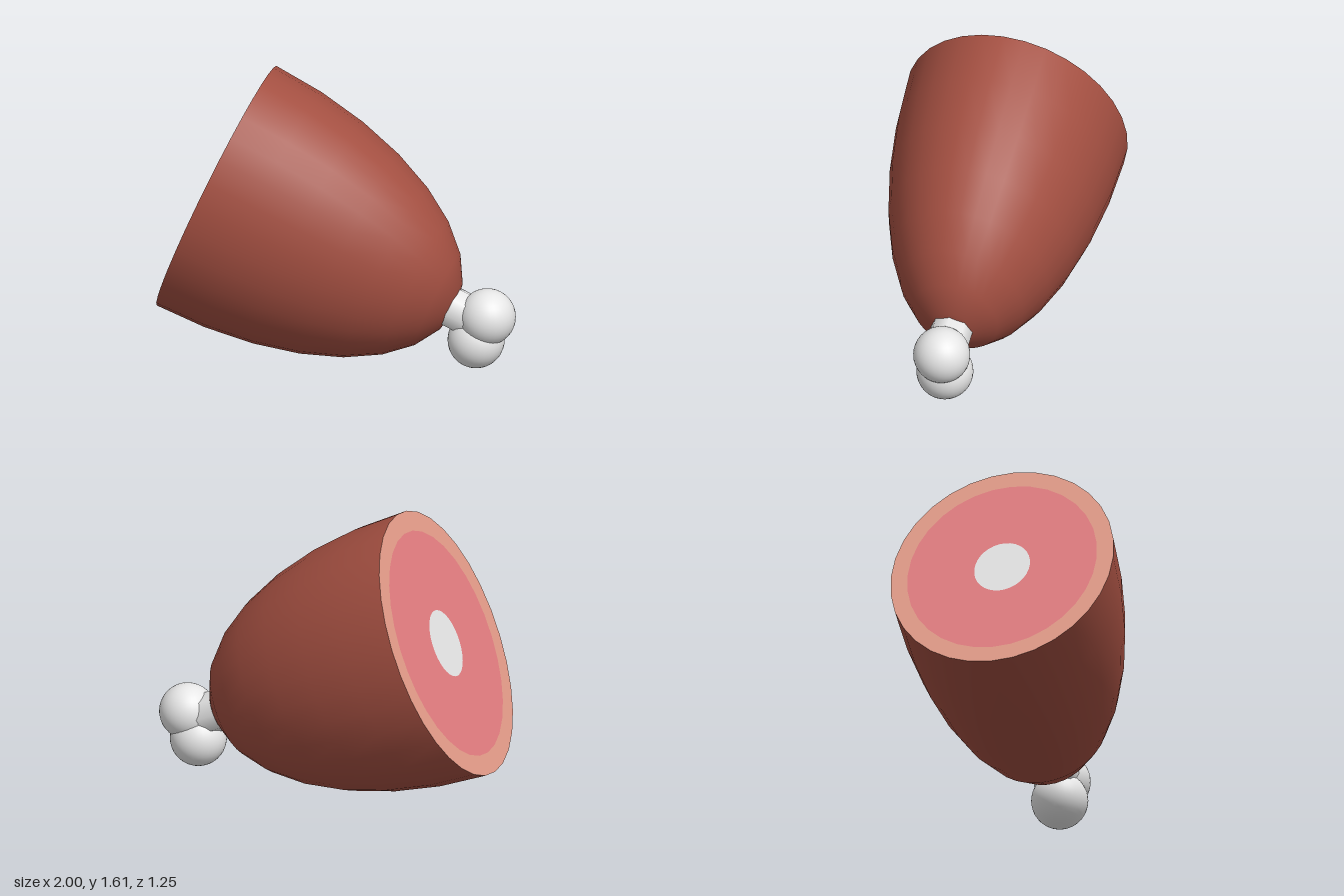
import * as THREE from 'three';

const mat = (name, color) => {
  const m = new THREE.MeshStandardMaterial({ color });
  m.name = name;
  return m;
};

export function createModel() {
  const skin = mat('roasted skin', 0xa34f41);
  const fat = mat('fat rim', 0xe39b88);
  const meat = mat('pink meat', 0xe27c80);
  const bone = mat('bone', 0xe6e6e6);

  const LENGTH = 1.48, HEIGHT = 0.764, WIDTH = 0.625;
  const model = new THREE.Group();
  model.name = 'ham';

  // Tilted body: local +x runs from the cut face to the bone
  const ham = new THREE.Group();
  ham.name = 'hamBody';
  ham.position.set(-0.705, 0.905, 0);
  ham.rotation.z = -Math.atan2(0.386, 0.923);
  model.add(ham);

  const add = (parent, name, geometry, material) => {
    const mesh = new THREE.Mesh(geometry, material);
    mesh.name = name;
    parent.add(mesh);
    return mesh;
  };

  // Half-ellipsoid skin
  const dome = new THREE.SphereGeometry(1, 32, 8, 0, Math.PI * 2, 0, Math.PI / 2);
  dome.rotateZ(-Math.PI / 2).scale(LENGTH, HEIGHT, WIDTH);
  add(ham, 'skin', dome, skin);

  // Cut face: concentric oval bands facing local -x
  const bands = [
    ['fatRim', 0.85, 1, fat],
    ['meatFace', 0.25, 0.85, meat],
    ['boneFace', 0, 0.25, bone],
  ];
  for (const [name, inner, outer, material] of bands) {
    const band = inner > 0
      ? new THREE.RingGeometry(inner, outer, 32)
      : new THREE.CircleGeometry(outer, 32);
    band.rotateY(-Math.PI / 2).scale(1, HEIGHT, WIDTH);
    add(ham, name, band, material);
  }

  // Bone shaft leaving the narrow end
  const shaft = new THREE.CylinderGeometry(0.118, 0.118, 0.4, 8);
  shaft.rotateZ(-Math.PI / 2);
  add(ham, 'boneShaft', shaft, bone).position.x = 1.46;

  // Two knuckles at the end of the bone
  for (const [name, x, y] of [['upperKnuckle', 0.842, 0.307], ['lowerKnuckle', 0.778, 0.162]]) {
    add(model, name, new THREE.SphereGeometry(0.157, 32, 20), bone).position.set(x, y, 0);
  }
  return model;
}
